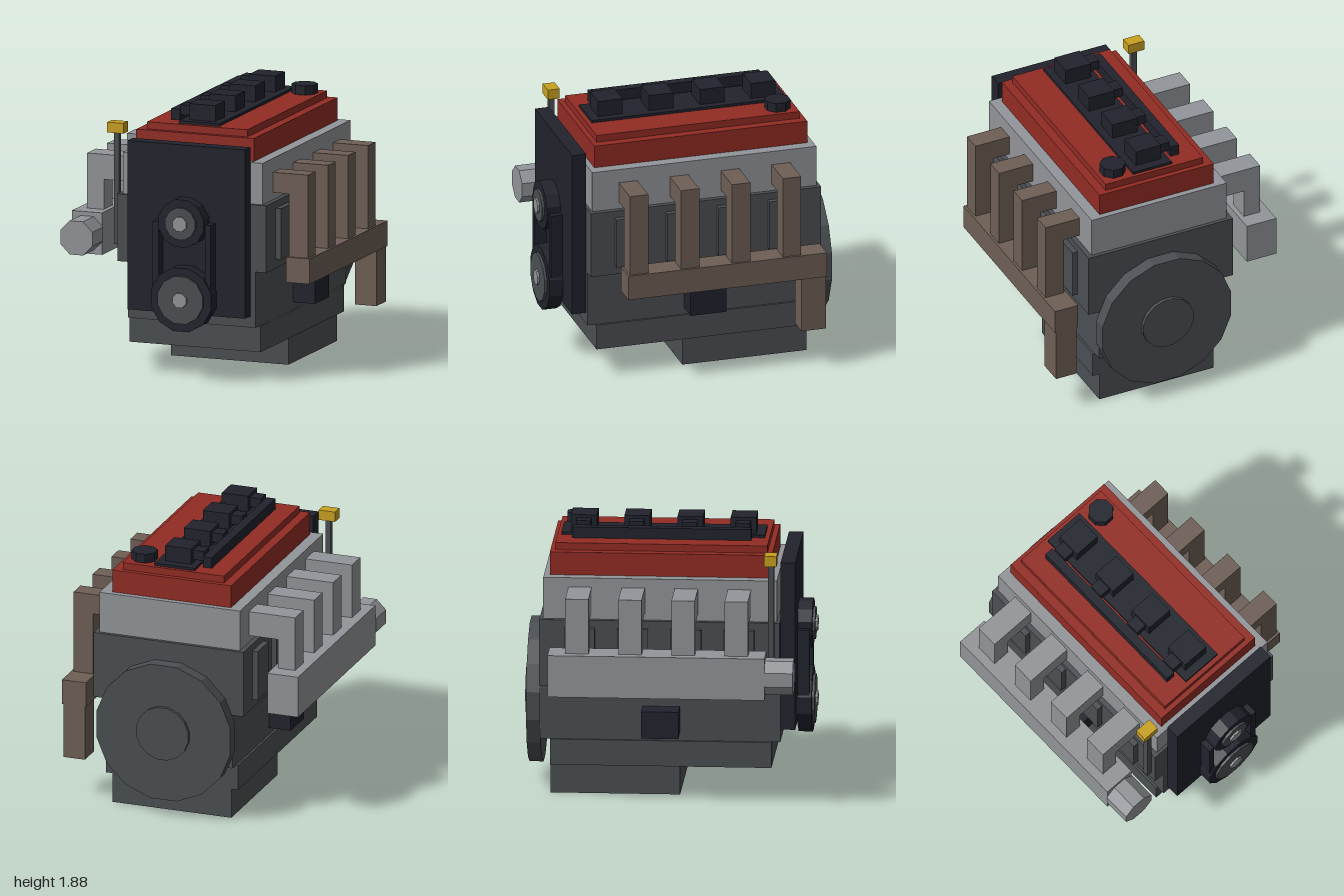
import * as THREE from 'three';

const mat = (name, color) => {
  const m = new THREE.MeshStandardMaterial({ color });
  m.name = name;
  return m;
};

export function createModel() {
  const iron = mat('castIron', 0x4b4f53);
  const alloy = mat('alloy', 0x929599);
  const red = mat('redPaint', 0x922c24);
  const black = mat('blackPlastic', 0x21232d);
  const brown = mat('rustyExhaust', 0x6e5f55);
  const yellow = mat('yellowHandle', 0xc9a120);

  const engine = new THREE.Group();
  engine.name = 'engine';
  const CX = 0.065; // engine centre line
  const cylinders = [0.493, 0.128, -0.237, -0.602]; // cylinder positions along z

  const add = (name, geo, material, x, y, z) => {
    const mesh = new THREE.Mesh(geo, material);
    mesh.name = name;
    mesh.position.set(x, y, z);
    engine.add(mesh);
    return mesh;
  };
  // Box from its limits on each axis
  const box = (name, material, [x0, x1], [y0, y1], [z0, z1]) =>
    add(name, new THREE.BoxGeometry(x1 - x0, y1 - y0, z1 - z0), material,
      (x0 + x1) / 2, (y0 + y1) / 2, (z0 + z1) / 2);
  // Faceted disc with flats on its axes; a is half the width across the flats
  const discGeo = (a, length, sides) => {
    const r = a / Math.cos(Math.PI / sides);
    const g = new THREE.CylinderGeometry(r, r, length, sides).toNonIndexed();
    g.rotateY(Math.PI / sides);
    g.computeVertexNormals();
    return g;
  };
  const discZ = (name, material, x, y, a, z0, z1, sides) =>
    add(name, discGeo(a, z1 - z0, sides).rotateX(Math.PI / 2), material, x, y, (z0 + z1) / 2);

  // Oil pan and block
  box('oilSump', iron, [-0.37, 0.5], [0, 0.21], [-0.81, 0.08]);
  box('oilPan', iron, [-0.42, 0.55], [0.21, 0.39], [-0.81, 0.71]);
  box('crankcase', iron, [-0.405, 0.535], [0.39, 0.78], [-0.88, 0.77]);
  box('cylinderBlock', iron, [-0.485, 0.615], [0.78, 1.25], [-0.88, 0.77]);
  box('engineMounts', black, [-0.565, 0.695], [0.44, 0.63], [-0.177, 0.08]);

  // Head and valve cover
  box('cylinderHead', alloy, [-0.45, 0.58], [1.25, 1.54], [-0.855, 0.75]);
  box('valveCover', red, [-0.37, 0.5], [1.54, 1.7], [-0.815, 0.71]);
  box('valveCoverTop', red, [-0.305, 0.437], [1.7, 1.75], [-0.78, 0.675]);
  add('oilCap', discGeo(0.083, 0.065, 8), black, 0.323, 1.7825, -0.655);

  // Ignition coils on their plate, wired to a rail
  box('coilPlate', black, [-0.08, 0.215], [1.75, 1.768], [-0.755, 0.642]);
  box('wiringRail', black, [-0.175, -0.11], [1.753, 1.83], [-0.675, 0.555]);

  for (const z of cylinders) {
    box('ignitionCoil', black, [-0.03, 0.162], [1.768, 1.88], [z - 0.088, z + 0.088]);
    box('coilConnector', black, [-0.11, -0.03], [1.79, 1.858], [z - 0.05, z + 0.05]);
    box('blockRibs', iron, [-0.525, 0.655], [0.845, 1.2], [z - 0.105, z + 0.105]);
    // Intake runner
    box('intakeRunner', alloy, [-0.79, -0.45], [1.3, 1.475], [z - 0.08, z + 0.08]);
    box('intakeDrop', alloy, [-0.79, -0.665], [1.09, 1.3], [z - 0.08, z + 0.08]);
    // Exhaust runner
    box('exhaustRunner', brown, [0.58, 0.84], [1.3, 1.442], [z - 0.066, z + 0.066]);
    box('exhaustDrop', brown, [0.698, 0.84], [0.86, 1.3], [z - 0.066, z + 0.066]);
  }

  // Intake plenum and throttle body
  box('intakePlenum', alloy, [-0.855, -0.63], [0.797, 1.09], [-0.8, 0.69]);
  discZ('throttleBody', alloy, -0.742, 0.942, 0.118, 0.69, 0.885, 8);

  // Exhaust collector and down pipe
  box('exhaustCollector', brown, [0.682, 0.857], [0.683, 0.86], [-0.848, 0.575]);
  box('downPipe', brown, [0.69, 0.847], [0.295, 0.683], [-0.845, -0.668]);

  // Timing cover, pulleys and belt
  box('timingCover', black, [-0.37, 0.5], [0.47, 1.65], [0.77, 0.87]);
  for (const [name, y, a, face] of [['camPulley', 1.12, 0.166, 0.11], ['crankPulley', 0.587, 0.222, 0.165]]) {
    discZ(name, black, CX, y, a, 0.87, 0.968, 12);
    discZ(name + 'Face', iron, CX, y, face, 0.968, 0.985, 12);
    discZ(name + 'Bolt', alloy, CX, y, 0.05, 0.985, 1, 8);
  }
  for (const s of [-1, 1]) {
    const x = CX + s * 0.193;
    box('belt', black, [x - 0.022, x + 0.022], [0.587, 1.12], [0.87, 0.955]);
  }

  // Flywheel
  discZ('flywheel', iron, CX, 0.622, 0.49, -0.975, -0.88, 16);
  discZ('flywheelHub', iron, CX, 0.622, 0.19, -1, -0.975, 16);

  // Dipstick
  box('dipstickTube', iron, [-0.525, -0.487], [0.89, 1.67], [0.695, 0.735]);
  box('dipstickHandle', yellow, [-0.567, -0.447], [1.67, 1.742], [0.67, 0.755]);

  return engine;
}
